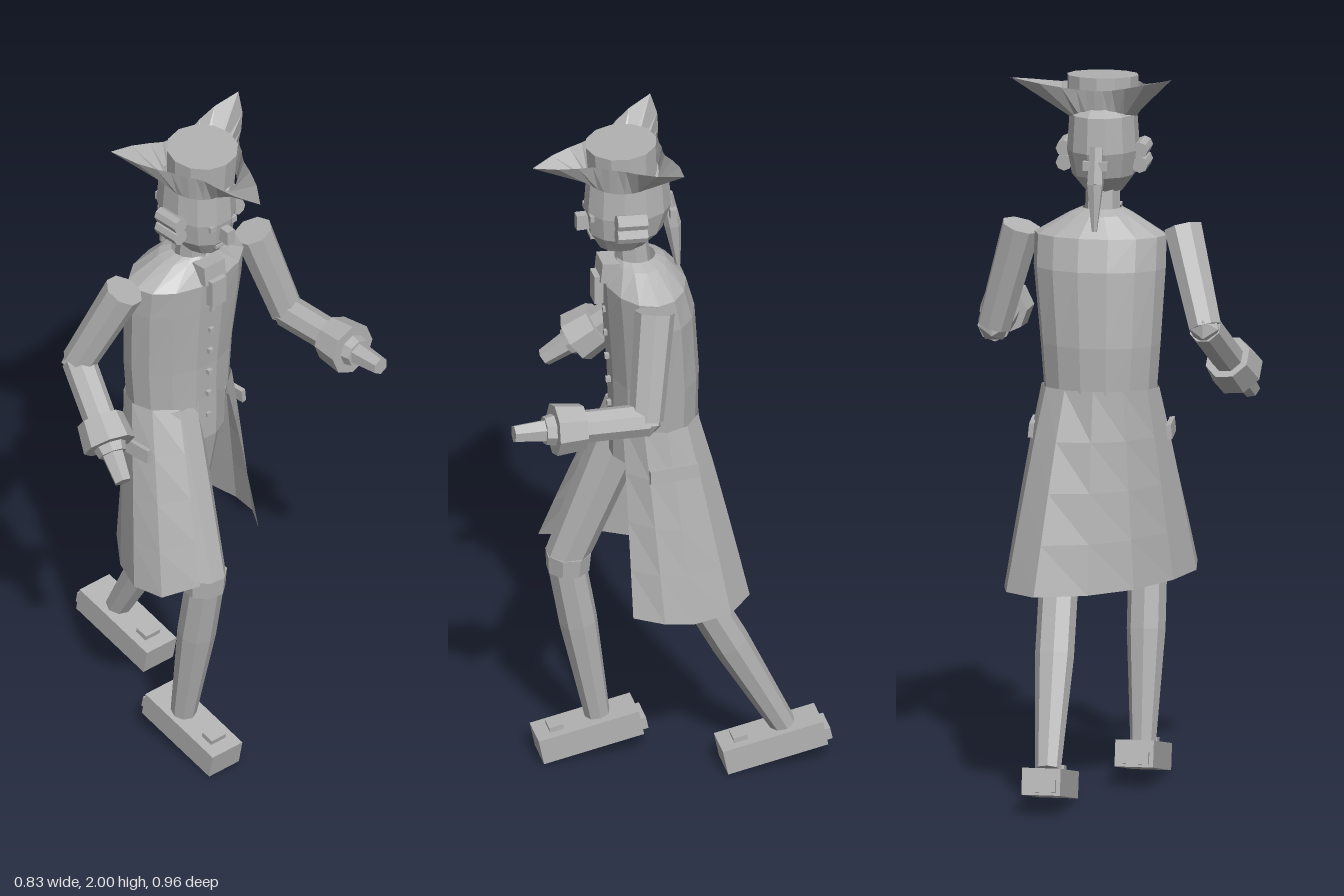
import * as THREE from 'three';

const grey = new THREE.MeshStandardMaterial({ color: 0xb2b2b2, flatShading: true, side: THREE.DoubleSide });
grey.name = 'plain grey';

const V = (p) => new THREE.Vector3(...p);

function mesh(name, geometry, parent, pos = [0, 0, 0], rot = [0, 0, 0]) {
  const m = new THREE.Mesh(geometry, grey);
  m.name = name;
  m.position.set(...pos);
  m.rotation.set(...rot);
  parent.add(m);
  return m;
}

const box = (name, parent, size, pos, rot) => mesh(name, new THREE.BoxGeometry(...size), parent, pos, rot);

// Tapered faceted cylinder running from a to b
function limb(name, parent, a, b, ra, rb, sides = 8) {
  const from = V(a), dir = V(b).sub(from);
  const m = mesh(name, new THREE.CylinderGeometry(rb, ra, dir.length(), sides), parent);
  m.position.copy(from).addScaledVector(dir, 0.5);
  m.quaternion.setFromUnitVectors(new THREE.Vector3(0, 1, 0), dir.normalize());
  return m;
}

// Skin over rows of points, each row holding the same number of [x, y, z]
function loft(rows) {
  const n = rows[0].length, index = [];
  for (let r = 0; r < rows.length - 1; r++) {
    for (let i = 0; i < n - 1; i++) {
      const a = r * n + i, b = a + n;
      index.push(a, b, a + 1, a + 1, b, b + 1);
    }
  }
  const g = new THREE.BufferGeometry();
  g.setAttribute('position', new THREE.Float32BufferAttribute(rows.flat(2), 3));
  g.setIndex(index);
  g.computeVertexNormals();
  return g;
}

// Closed elliptical ring
function ring(y, cx, cz, rx, rz, n = 12) {
  return Array.from({ length: n + 1 }, (_, i) => {
    const a = ((i + 0.5) / n) * Math.PI * 2;
    return [cx + rx * Math.sin(a), y, cz + rz * Math.cos(a)];
  });
}

function addHead(root) {
  const head = new THREE.Group();
  head.name = 'head';
  root.add(head);
  mesh('skull', loft([
    ring(1.655, 0.02, 0.08, 0.001, 0.001), ring(1.66, 0.02, 0.085, 0.05, 0.065),
    ring(1.71, 0.02, 0.075, 0.088, 0.105), ring(1.78, 0.02, 0.068, 0.1, 0.122),
    ring(1.88, 0.02, 0.068, 0.093, 0.115), ring(1.92, 0.02, 0.07, 0.05, 0.06),
  ]), head);
  limb('neck', head, [0.02, 1.57, 0.05], [0.02, 1.69, 0.06], 0.05, 0.047);
  box('nose', head, [0.026, 0.045, 0.04], [0.02, 1.745, 0.195]);
  box('mouth', head, [0.045, 0.01, 0.012], [0.02, 1.7, 0.172]);
  for (const s of [-1, 1]) {
    box('eye', head, [0.018, 0.018, 0.012], [0.02 + s * 0.038, 1.772, 0.179]);
    // Rolled side curls
    for (const y of [1.78, 1.74]) {
      const x = 0.02 + s * 0.106;
      limb('sideCurl', head, [x, y, 0.04], [x, y + 0.005, 0.125], 0.023, 0.023);
    }
  }
  // Tied tail of hair
  limb('hairTail', head, [0.02, 1.8, -0.04], [0.02, 1.7, -0.06], 0.02, 0.024, 6);
  limb('hairTailEnd', head, [0.02, 1.7, -0.06], [0.02, 1.57, -0.075], 0.024, 0.008, 6);
  box('hairBow', head, [0.07, 0.025, 0.02], [0.02, 1.75, -0.055]);
}

function addHat(root) {
  const hat = new THREE.Group();
  hat.name = 'threeCorneredHat';
  root.add(hat);
  const cx = 0.025, cz = 0.085;
  mesh('hatCrown', new THREE.CylinderGeometry(0.1, 0.096, 0.11, 12), hat, [cx, 1.928, cz], [0.05, 0, 0]);
  // Folded brim, drawn out into three points
  const tips = [[0.02, 1.93, 0.338], [0.262, 1.988, -0.035], [-0.192, 1.997, -0.048]].map(([x, y, z]) => ({
    y, r: Math.hypot(x - cx, z - cz), a: Math.atan2(x - cx, z - cz),
  }));
  const low = [], high = [], steps = 10;
  tips.forEach((tip, k) => {
    const next = tips[(k + 1) % 3];
    let end = next.a;
    while (end < tip.a) end += Math.PI * 2;
    for (let i = 0; i <= steps; i++) {
      const t = i / steps, a = tip.a + (end - tip.a) * t;
      const near = t < 0.5 ? tip : next;
      const peak = Math.max(0, 1 - Math.min(t, 1 - t) / 0.38) ** 1.8;
      const r = 0.112 + (near.r - 0.112) * peak;
      low.push([cx + 0.097 * Math.sin(a), 1.872, cz + 0.097 * Math.cos(a)]);
      high.push([cx + r * Math.sin(a), 1.955 + (near.y - 1.955) * peak, cz + r * Math.cos(a)]);
    }
  });
  mesh('hatBrim', loft([low, high]), hat);
}

function addCoat(root) {
  const coat = new THREE.Group();
  coat.name = 'coat';
  root.add(coat);
  mesh('coatBody', loft([
    ring(1.62, 0.02, 0.045, 0.055, 0.055, 14), ring(1.605, 0.02, 0.035, 0.09, 0.075, 14),
    ring(1.55, 0.02, 0.025, 0.185, 0.115, 14), ring(1.46, 0.02, 0.01, 0.185, 0.125, 14),
    ring(1.25, 0.015, -0.005, 0.168, 0.125, 14), ring(1.12, 0.015, -0.005, 0.158, 0.122, 14),
  ]), coat);

  // Open skirt: hem from the right front corner round the back to the left
  const hem = [
    [-0.15, 0.66, 0.28], [-0.22, 0.61, 0.2], [-0.235, 0.6, 0.1], [-0.19, 0.59, -0.01],
    [-0.1, 0.58, -0.13], [0.02, 0.57, -0.19], [0.16, 0.57, -0.245], [0.25, 0.57, -0.17],
    [0.275, 0.565, -0.06], [0.265, 0.57, 0.02], [0.22, 0.575, 0.1],
  ];
  const rows = [0, 0.25, 0.5, 0.75, 1].map((t) => hem.map(([x, y, z], i) => {
    const a = -0.55 - (i / (hem.length - 1)) * (Math.PI * 2 - 1.1);
    const u = t ** 0.92;
    const wx = 0.015 + 0.165 * Math.sin(a), wz = -0.005 + 0.125 * Math.cos(a);
    return [wx + (x - wx) * u, 1.13 + (y - 1.13) * t, wz + (z - wz) * u];
  }));
  mesh('coatSkirt', loft(rows), coat);
  box('pocketFlap', coat, [0.014, 0.04, 0.14], [0.202, 1.01, -0.02], [0, 0.1, 0.1]);
  box('pocketFlap', coat, [0.014, 0.04, 0.14], [-0.178, 1.01, 0.02], [0, 0.1, -0.1]);

  // Waistcoat front and hips
  mesh('waistcoatHem', loft([
    ring(1.14, 0.02, 0.01, 0.125, 0.11), ring(1.0, 0.02, 0.02, 0.115, 0.1), ring(0.995, 0.02, 0.02, 0.001, 0.001),
  ]), coat);
  for (let i = 0; i < 6; i++) {
    box('button', coat, [0.014, 0.014, 0.014], [0.02, 1.08 + i * 0.075, 0.117 + i * 0.003]);
  }
  // Neckcloth
  box('neckclothKnot', coat, [0.075, 0.06, 0.05], [0.018, 1.585, 0.125], [-0.1, 0, 0]);
  box('neckclothFall', coat, [0.052, 0.085, 0.025], [0.018, 1.53, 0.155]);
}

function addArm(root, name, shoulder, elbow, tip) {
  const arm = new THREE.Group();
  arm.name = name;
  root.add(arm);
  const at = (t) => V(elbow).lerp(V(tip), t).toArray();
  limb('upperSleeve', arm, shoulder, elbow, 0.056, 0.048);
  mesh('elbow', new THREE.IcosahedronGeometry(0.048, 0), arm, elbow);
  limb('lowerSleeve', arm, elbow, at(0.55), 0.047, 0.046);
  limb('cuff', arm, at(0.48), at(0.7), 0.066, 0.075);
  limb('wristFrill', arm, at(0.7), at(0.77), 0.046, 0.04);
  limb('hand', arm, at(0.74), tip, 0.034, 0.025, 6);
}

function addLeg(root, name, hip, knee, ankle, footX, footZ) {
  const leg = new THREE.Group();
  leg.name = name;
  root.add(leg);
  const along = (t) => V(knee).lerp(V(ankle), t).toArray();
  limb('thigh', leg, hip, knee, 0.078, 0.06);
  limb('kneeBand', leg, V(knee).lerp(V(hip), 0.04).toArray(), along(0.07), 0.065, 0.061);
  limb('calf', leg, along(0.05), along(0.4), 0.054, 0.054);
  limb('shin', leg, along(0.4), ankle, 0.054, 0.036);
  // Shoe pitched toe down, with the heel lifted
  const shoe = new THREE.Group();
  shoe.name = 'shoe';
  shoe.position.set(footX, 0.066, footZ);
  shoe.rotation.x = 0.2;
  leg.add(shoe);
  box('shoeBody', shoe, [0.108, 0.075, 0.29], [0, 0, 0]);
  box('shoeBuckle', shoe, [0.052, 0.016, 0.04], [0, 0.044, 0.085]);
  box('shoeHeel', shoe, [0.085, 0.035, 0.02], [0, -0.012, -0.152]);
}

export function createModel() {
  const root = new THREE.Group();
  root.name = 'walkingFigure';
  addHead(root);
  addHat(root);
  addCoat(root);
  addArm(root, 'rightArm', [-0.21, 1.57, 0.03], [-0.29, 1.31, -0.07], [-0.37, 1.09, 0.21]);
  addArm(root, 'leftArm', [0.245, 1.56, 0.045], [0.33, 1.27, 0.09], [0.345, 1.285, 0.47]);
  addLeg(root, 'rightLeg', [-0.045, 1.1, 0.04], [-0.078, 0.62, 0.22], [-0.08, 0.11, 0.13], -0.075, 0.16);
  addLeg(root, 'leftLeg', [0.085, 1.1, 0.01], [0.115, 0.59, -0.1], [0.1, 0.11, -0.355], 0.1, -0.32);
  return root;
}
